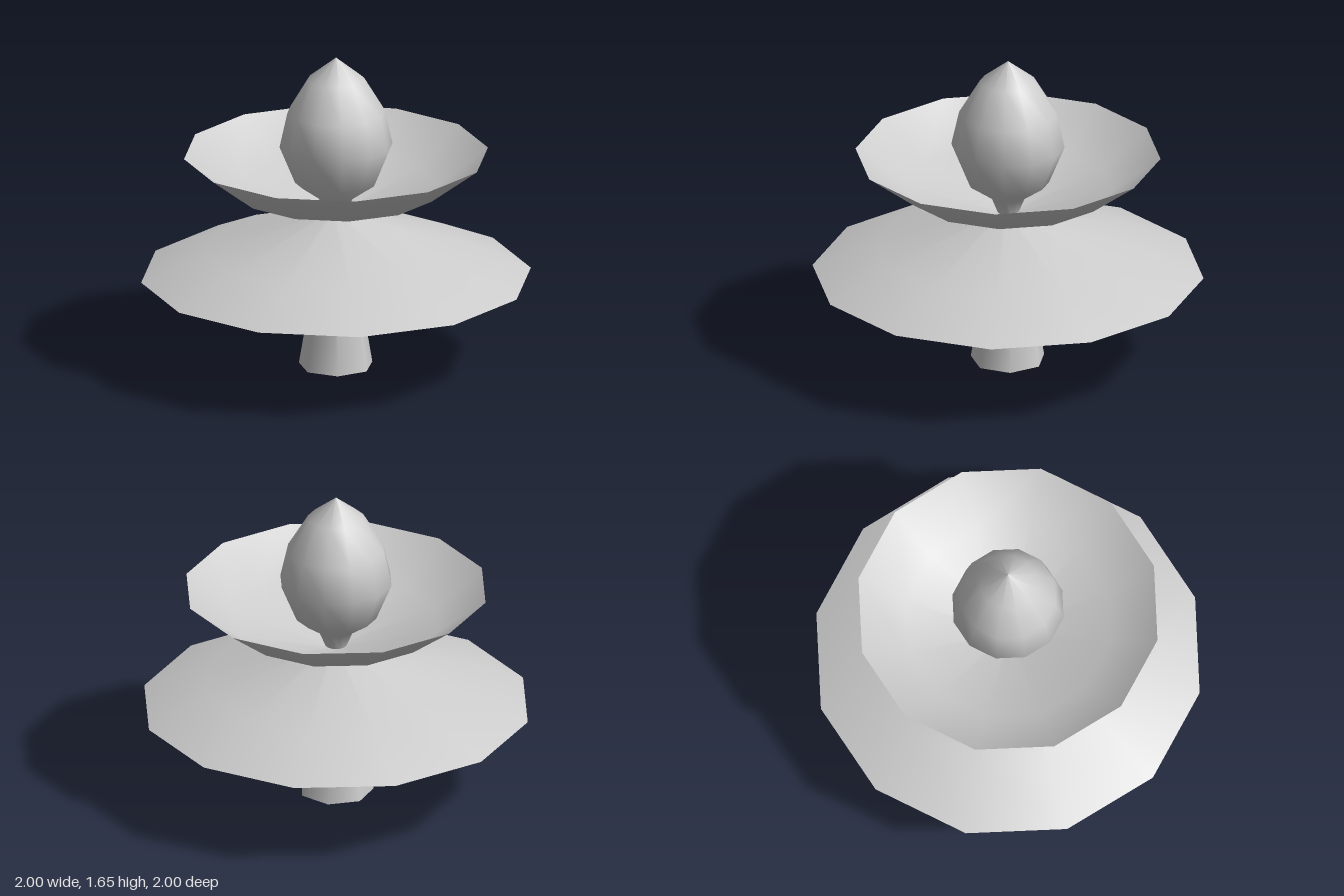
import * as THREE from 'three';

const material = new THREE.MeshStandardMaterial({ color: 0xcccccc, side: THREE.DoubleSide });

// Smooth surface of revolution from [radius, height] pairs, listed bottom to top
function turned(name, profile, sides, start = 0) {
  const points = profile.map(([r, y]) => new THREE.Vector2(r, y));
  const mesh = new THREE.Mesh(new THREE.LatheGeometry(points, sides, start), material);
  mesh.name = name;
  return mesh;
}

export function createModel() {
  const group = new THREE.Group();
  group.name = 'flower';

  // Tapered open stem with seven sides, one corner facing the back
  group.add(turned('stem', [[0.192, 0], [0.055, 0.815]], 7, Math.PI));

  // Drooping lower petals
  group.add(turned('lowerPetals', [[1, 0.48], [0.68, 0.622], [0.05, 0.815]], 12));

  // Upturned upper petals
  group.add(turned('upperPetals', [[0.05, 0.815], [0.53, 0.945], [0.78, 1.135]], 12));

  // Egg-shaped bud on a narrow neck
  group.add(turned('bud', [
    [0.055, 0.815], [0.09, 0.9], [0.21, 0.985], [0.29, 1.18],
    [0.25, 1.36], [0.145, 1.535], [0, 1.65],
  ], 12));

  return group;
}
